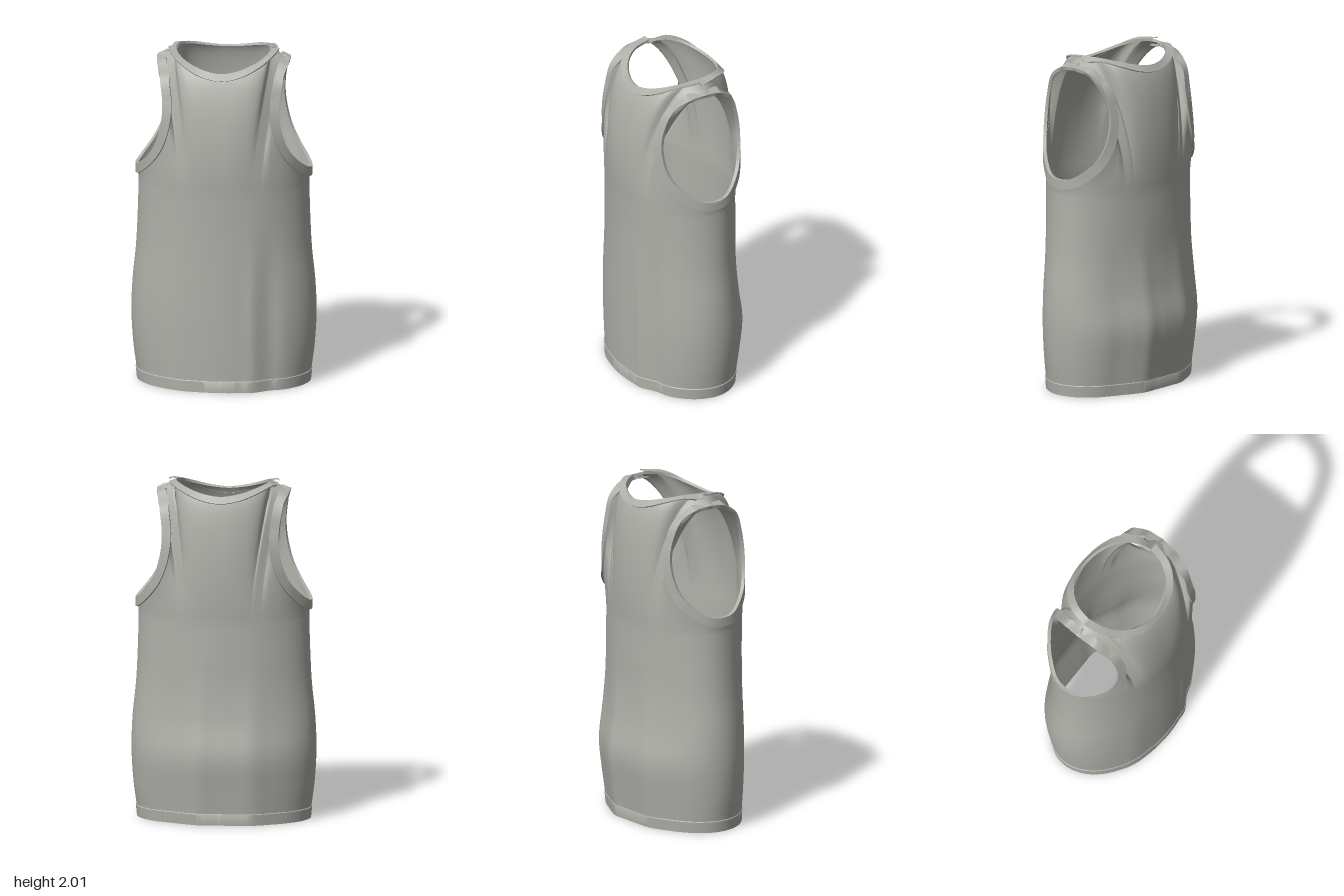
import * as THREE from 'three';
import { mergeVertices, mergeGeometries, toCreasedNormals } from 'three/addons/utils/BufferGeometryUtils.js';

const V = (x, y, z) => new THREE.Vector3(x, y, z);
const CHEST = 1.2; // height where the closed tube ends and the panels begin

// half width, front depth, back depth at equal steps from hem to chest
const BODY = [
  [0.505, 0.345, 0.31], [0.53, 0.348, 0.335], [0.542, 0.35, 0.358], [0.535, 0.35, 0.325],
  [0.515, 0.35, 0.31], [0.505, 0.352, 0.31], [0.5, 0.357, 0.31],
];
// edge points: ring angle, position x y z, incoming cloth handle x y z
const ARM = [
  [0, 0.51, 1.3, 0, 0, -0.04, 0],
  [14, 0.49, 1.32, 0.1, 0, -0.045, 0],
  [30, 0.425, 1.4, 0.2, -0.01, -0.07, 0.01],
  [41, 0.375, 1.5, 0.25, -0.03, -0.09, 0.015],
  [48, 0.345, 1.63, 0.267, -0.06, -0.08, 0.025],
  [52, 0.343, 1.75, 0.25, -0.07, -0.07, 0.035],
  [55, 0.362, 1.87, 0.2, -0.07, -0.06, 0.06],
  [58, 0.383, 1.93, 0.1, -0.06, 0, 0.11],
  [61, 0.39, 1.943, 0, -0.05, 0.03, 0.13],
];
const NECK = [
  [67, 0.28, 2, 0, 0.02, 0, 0.2],
  [71, 0.258, 1.985, 0.1, 0.03, 0, 0.16],
  [76, 0.2, 1.957, 0.18, 0.03, -0.03, 0.12],
  [83, 0.105, 1.925, 0.235, 0.02, -0.08, 0.09],
  [90, 0, 1.91, 0.255, 0, -0.11, 0.075],
];

// Catmull-Rom through rows of numbers, t counted in rows
function spline(rows, t, before = rows[0], after = rows[rows.length - 1]) {
  const i = Math.min(Math.floor(t), rows.length - 2), f = t - i;
  const a = rows[i - 1] ?? before, b = rows[i], c = rows[i + 1], d = rows[i + 2] ?? after;
  return b.map((p, k) => p + 0.5 * f * (c[k] - a[k] + f * (2 * a[k] - 5 * p + 4 * c[k] - d[k]
    + f * (3 * (p - c[k]) + d[k] - a[k]))));
}

const U_ARM = ARM.length - 1, U_NECK = U_ARM + 1, U_END = U_NECK + NECK.length - 1;
const armBefore = ARM[1].map((n, k) => ([0, 3, 6].includes(k) ? -n : n));
const neckAfter = NECK[3].map((n, k) => (k === 0 ? 180 - n : k === 1 || k === 4 ? -n : n));

// armhole, shoulder seam, neckline in turn; the back is higher and squarer
function edgeRow(u, back) {
  let r;
  if (u <= U_ARM) r = spline(ARM, u, armBefore);
  else if (u < U_NECK) r = ARM[U_ARM].map((n, k) => n + (NECK[0][k] - n) * (u - U_ARM));
  else r = spline(NECK, u - U_NECK, undefined, neckAfter);
  if (back) {
    const k = THREE.MathUtils.clamp(u - U_ARM, 0, 1);
    r[2] += k * 0.035 * r[3] / 0.255;
    r[3] *= 0.925 + 0.09 * k;
    r[5] *= 1 - 0.3 * k;
    r[6] *= u > U_NECK ? 0.75 : 1;
  }
  return r;
}

// soft vertical folds in the lower cloth
const bump = (x, c, w) => Math.exp(-(((x - c) / w) ** 2));
function fold(x, y, back) {
  const fade = 1 - THREE.MathUtils.smoothstep(y, 0.45, 1.15);
  const f = back
    ? 0.012 * bump(x, 0.12, 0.06) + 0.014 * bump(x, -0.2, 0.08) - 0.012 * bump(x, 0.3, 0.07)
    : 0.008 * bump(x, 0.19, 0.04) - 0.02 * bump(x, 0.29, 0.06) + 0.006 * bump(x, -0.25, 0.08);
  return f * fade;
}

// horizontal ring of the body, in the positive quadrant
function ring(deg, y, sx, back) {
  const [w, front, rear] = spline(BODY, y / CHEST * (BODY.length - 1));
  const a = THREE.MathUtils.degToRad(deg), x = w * Math.cos(a), s = Math.sin(a);
  return V(x, y, s * ((back ? rear : front) + fold(sx * x, y, back)));
}

// cloth surface: v 0..1 is hem to chest, v 1..2 is chest to edge
function cloth(u, v, sx, back) {
  const r = edgeRow(u, back);
  if (v <= 1) return ring(r[0], 0.008 + (CHEST - 0.008) * v, sx, back);
  const p0 = ring(r[0], CHEST, sx, back), p3 = V(r[1], r[2], r[3]);
  const rise = p3.y - CHEST;
  const p1 = p0.clone().add(V(0, rise * 0.42, 0.04 * rise * Math.sin(r[0] * Math.PI / 180)));
  const p2 = p3.clone().add(V(r[4], r[5], r[6]));
  return new THREE.CubicBezierCurve3(p0, p1, p2, p3).getPoint(v - 1);
}

// grid of points mirrored into the four quadrants
function quadrants(u0, u1, nu, nv, point) {
  const parts = [];
  for (const sx of [1, -1]) for (const sz of [1, -1]) {
    const pos = [], index = [];
    for (let j = 0; j <= nv; j++) for (let i = 0; i <= nu; i++) {
      const p = point(u0 + (u1 - u0) * i / nu, j, sx, sz < 0);
      pos.push(sx * p.x, p.y, sz * p.z);
      if (i < nu && j < nv) {
        const a = j * (nu + 1) + i, b = a + 1, c = a + nu + 1, d = c + 1;
        index.push(...(sx * sz > 0 ? [a, c, b, b, c, d] : [a, b, c, b, d, c]));
      }
    }
    const g = new THREE.BufferGeometry();
    g.setAttribute('position', new THREE.Float32BufferAttribute(pos, 3));
    g.setIndex(index);
    parts.push(g);
  }
  const g = mergeVertices(mergeGeometries(parts), 1e-4);
  g.computeVertexNormals();
  return g;
}

// raised binding that follows the cloth inward from an edge
function binding(u0, u1, nu, width, lift) {
  const profile = [[width, -0.004], [width, lift], [0, lift], [0, -0.012]];
  const g = quadrants(u0, u1, nu, 3, (u, j, sx, back) => {
    const e = 0.02, at = (uu, v) => cloth(uu, v, sx, back);
    const ua = Math.max(u - e, u0), ub = Math.min(u + e, u1);
    const edge = at(u, 2);
    const along = at(ub, 2).sub(at(ua, 2)).normalize();
    const up = edge.clone().sub(at(u, 1.95)).normalize();
    const normal = up.clone().cross(along).normalize();
    const inward = normal.clone().cross(along).normalize();
    if (inward.dot(up) > 0) inward.negate();
    const p = edge.clone().addScaledVector(inward, profile[j][0]).addScaledVector(normal, profile[j][1]);
    if (Math.abs(edge.z) < 1e-6) p.z = 0; // keep mirrored halves joined
    if (Math.abs(edge.x) < 1e-6) p.x = 0;
    return p;
  });
  return toCreasedNormals(g, 0.7);
}

export function createModel() {
  const group = new THREE.Group();
  const fabric = new THREE.MeshStandardMaterial({ color: 0xb0b0aa, side: THREE.DoubleSide });
  fabric.name = 'grey fabric';
  const add = (name, geometry) => {
    const mesh = new THREE.Mesh(geometry, fabric);
    mesh.name = name;
    group.add(mesh);
  };

  // shirt body with front and back panels and shoulder straps
  const LOW = 24, HIGH = 24;
  add('shirtBody', quadrants(0, U_END, U_END * 5, LOW + HIGH,
    (u, j, sx, back) => cloth(u, j <= LOW ? j / LOW : 1 + (j - LOW) / HIGH, sx, back)));

  // bindings around both armholes and the neck
  add('armholeBindings', binding(0, U_ARM, 64, 0.055, 0.008));
  add('neckBinding', binding(U_NECK, U_END, 40, 0.045, 0.004));

  // folded hem band
  const hem = [[0, 0.985], [0, 1.01], [0.065, 1.01], [0.07, 0.998]];
  add('hemBand', toCreasedNormals(quadrants(0, 90, 48, 3, (deg, j, sx, back) => {
    const p = ring(deg, hem[j][0], sx, back);
    return V(p.x * hem[j][1], p.y, p.z * hem[j][1]);
  }), 0.7));

  return group;
}
